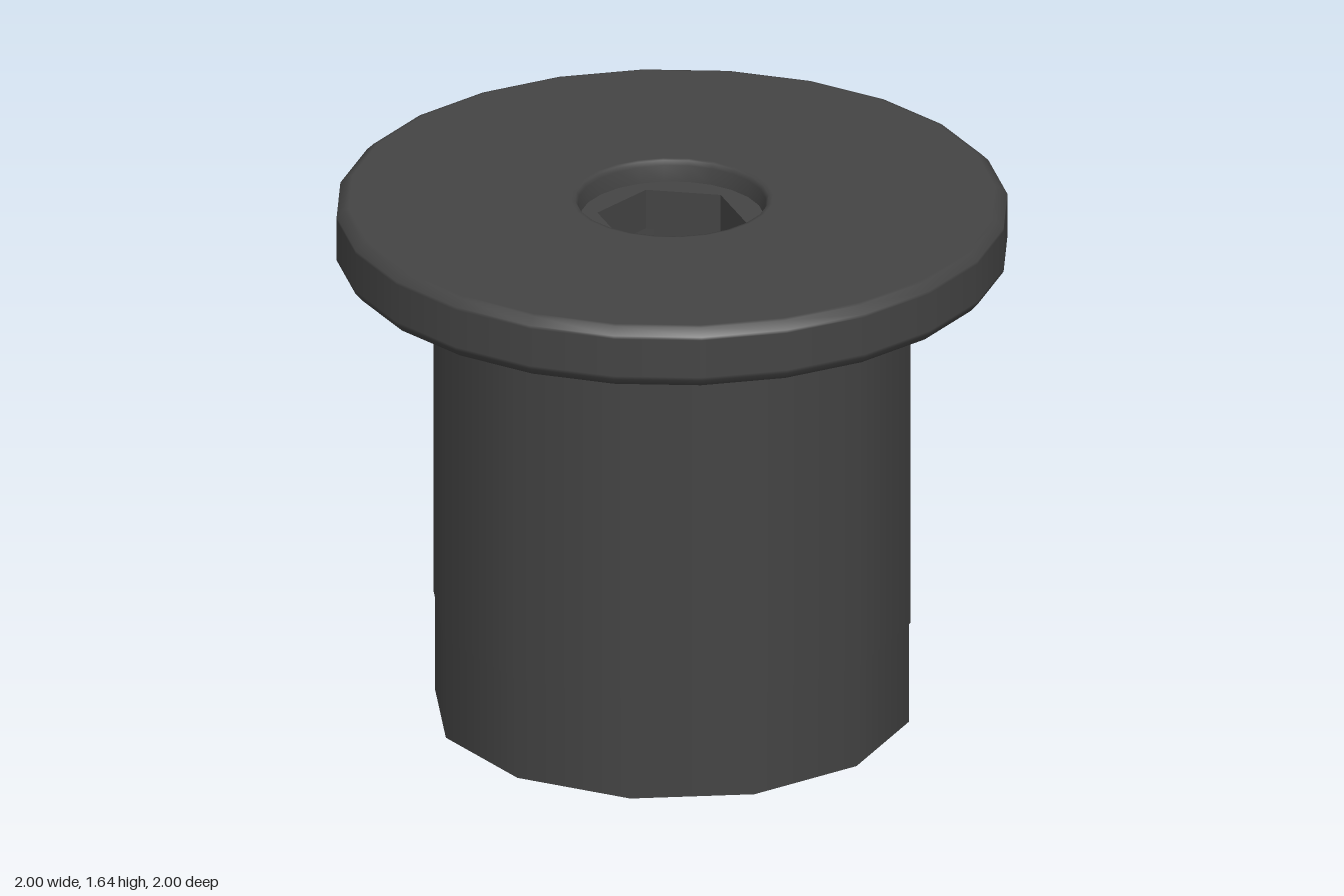
import * as THREE from 'three';

export function createModel() {
  const group = new THREE.Group();
  const darkSteel = new THREE.MeshStandardMaterial({ color: 0x444444 });
  darkSteel.name = 'darkSteel';

  const add = (name, geometry) => {
    const mesh = new THREE.Mesh(geometry, darkSteel);
    mesh.name = name;
    group.add(mesh);
    return mesh;
  };
  // Each profile is a list of [radius, height]; smooth within one profile, sharp between profiles.
  const lathe = (name, sides, profile) =>
    add(name, new THREE.LatheGeometry(profile.map(([r, y]) => new THREE.Vector2(r, y)), sides));

  // Flanged head with softened rims
  lathe('headUnderside', 24, [[0.64, 1.45], [0.975, 1.45]]);
  lathe('headRim', 24, [
    [0.97, 1.45], [0.98, 1.452], [1, 1.475], [1, 1.485], [1, 1.605], [1, 1.615],
    [0.978, 1.637], [0.965, 1.64], [0.3, 1.64], [0.288, 1.638], [0.28, 1.625], [0.275, 1.575],
  ]);

  // Hollow twelve-sided barrel, very slightly stepped in near its open end
  lathe('collar', 12, [[0.72, 1.4], [0.785, 1.452]]);
  lathe('barrel', 12, [[0.72, 0.32], [0.72, 1.4]]);
  lathe('barrelStep', 12, [[0.715, 0.32], [0.72, 0.32]]);
  lathe('barrelEnd', 12, [[0.715, 0], [0.715, 0.32]]);
  lathe('bottomLip', 12, [[0.66, 0], [0.715, 0]]);
  lathe('bore', 12, [[0.66, 1.452], [0.66, 0]]);

  // Plate closing the bore, pierced by the hexagonal socket
  const polygon = (target, radius, sides) => {
    const points = [];
    for (let i = 0; i < sides; i++) {
      const a = (i / sides) * Math.PI * 2;
      points.push(new THREE.Vector2(radius * Math.cos(a), radius * Math.sin(a)));
    }
    return target.setFromPoints(points);
  };
  const plate = polygon(new THREE.Shape(), 0.69, 24);
  plate.holes.push(polygon(new THREE.Path(), 0.225, 6));
  const socket = new THREE.ExtrudeGeometry(plate, { depth: 0.124, bevelEnabled: false });
  socket.rotateX(-Math.PI / 2).translate(0, 1.451, 0);
  add('hexSocket', socket);

  return group;
}
